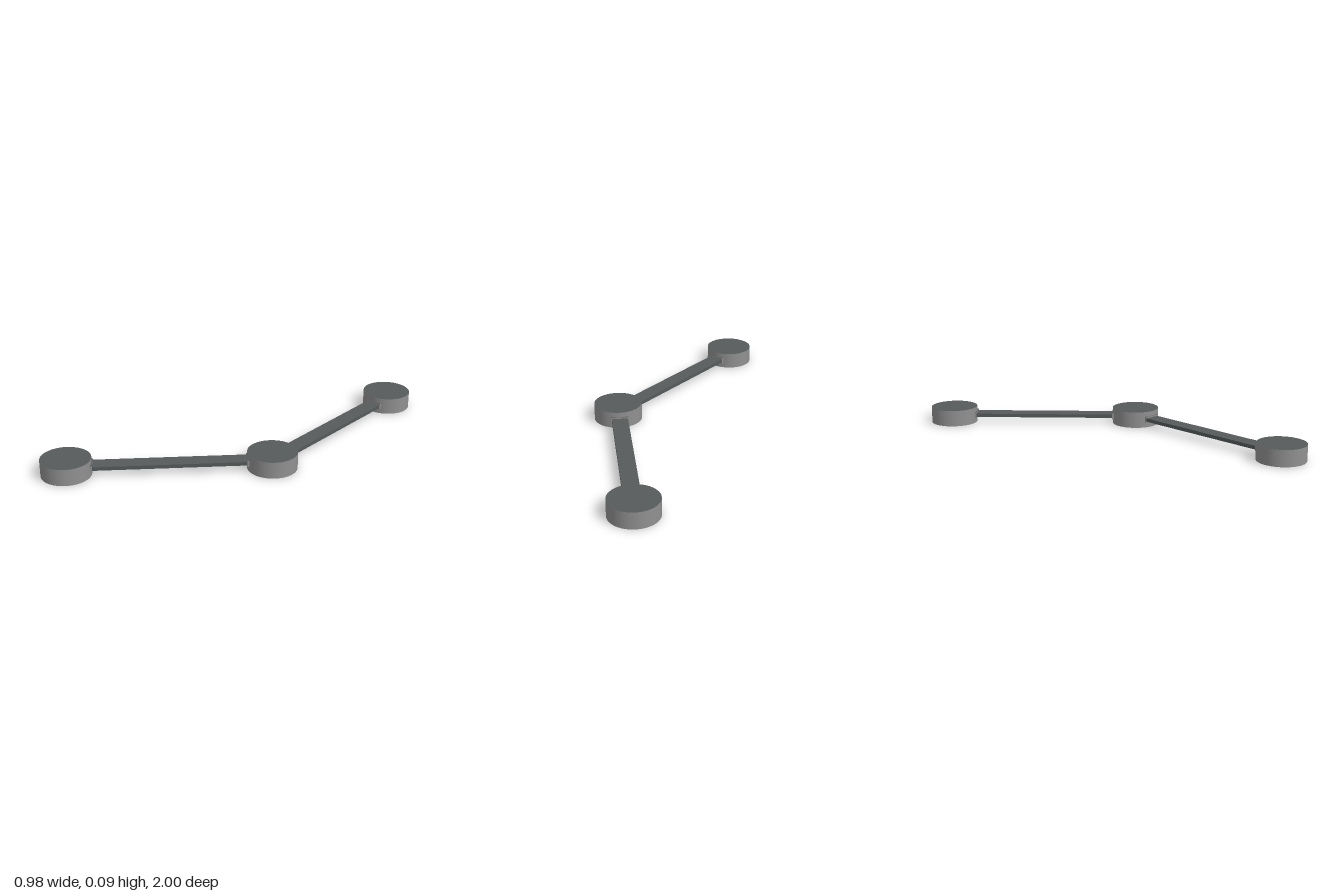
import * as THREE from 'three';

export function createModel() {
  const model = new THREE.Group();
  model.name = 'linkedDiscs';

  const slate = new THREE.MeshStandardMaterial({ name: 'slate', color: 0x565a5a });
  const grey = new THREE.MeshStandardMaterial({ name: 'grey', color: 0x909090 });

  const radius = 0.127, height = 0.087, mid = height / 2;
  const centres = [
    new THREE.Vector3(-0.361, mid, 0.873),
    new THREE.Vector3(0.361, mid, 0.148),
    new THREE.Vector3(0.361, mid, -0.873),
  ];

  // Round discs: grey rim, slate caps
  const discGeometry = new THREE.CylinderGeometry(radius, radius, height, 64);
  centres.forEach((c, i) => {
    const disc = new THREE.Mesh(discGeometry, [grey, slate, slate]);
    disc.name = `disc${i + 1}`;
    disc.position.copy(c);
    model.add(disc);
  });

  // Flat arms joining neighbouring discs, with a socket at each end
  const collarGeometry = new THREE.BoxGeometry(0.09, 0.034, 0.05);
  for (let i = 0; i < centres.length - 1; i++) {
    const a = centres[i], b = centres[i + 1];
    const length = a.distanceTo(b);
    const link = new THREE.Group();
    link.name = `link${i + 1}`;
    link.position.copy(a).lerp(b, 0.5);
    link.rotation.y = Math.atan2(b.x - a.x, b.z - a.z);

    const arm = new THREE.Mesh(
      new THREE.BoxGeometry(0.085, 0.019, length - 2 * radius + 0.04), slate);
    arm.name = 'arm';
    link.add(arm);

    for (const side of [-1, 1]) {
      const collar = new THREE.Mesh(collarGeometry, [grey, grey, slate, slate, grey, grey]);
      collar.name = 'armSocket';
      collar.position.z = side * (length / 2 - 0.105);
      link.add(collar);
    }
    model.add(link);
  }

  return model;
}
